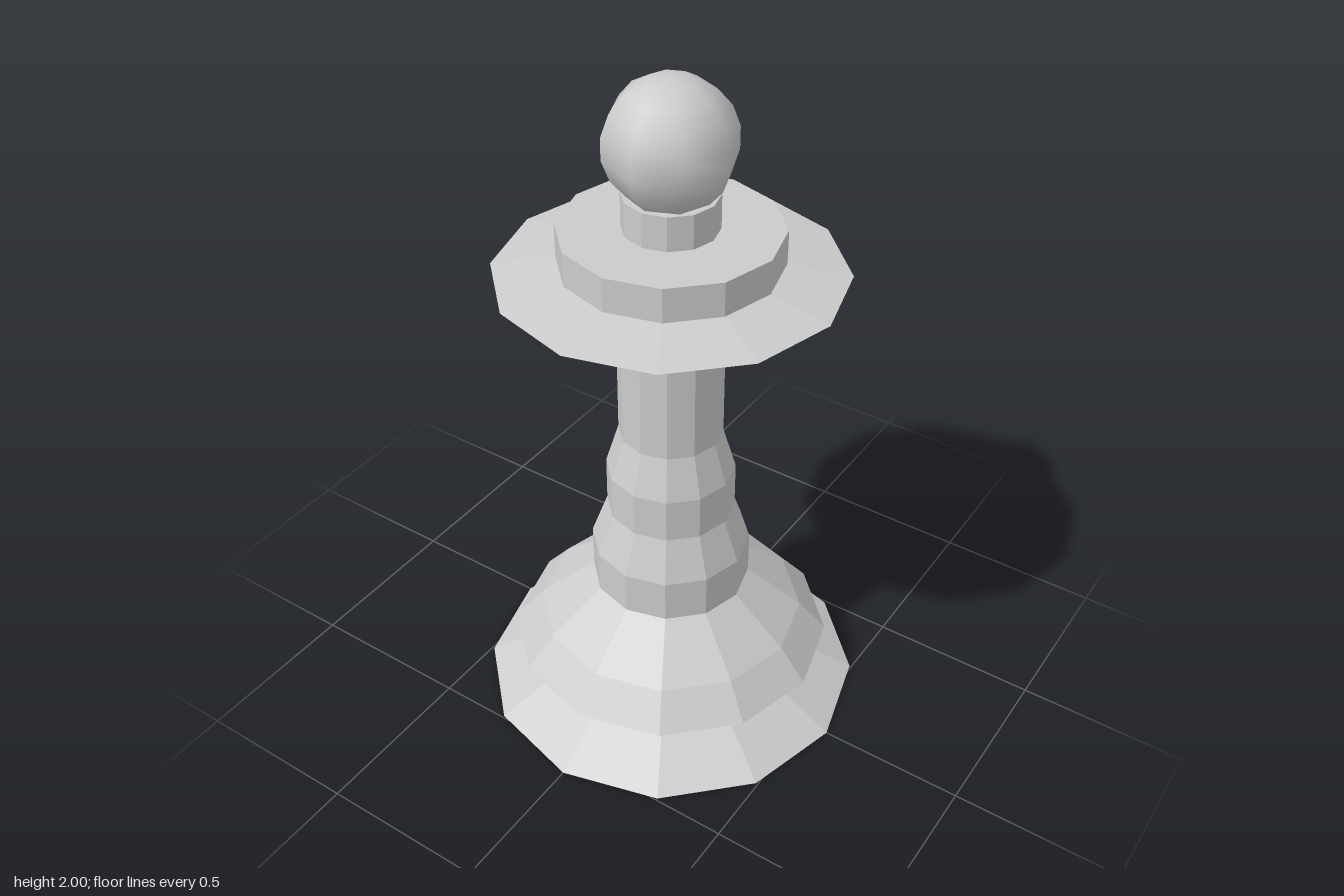
import * as THREE from 'three';

const SIDES = 12;

export function createModel() {
  const group = new THREE.Group();
  const faceted = new THREE.MeshStandardMaterial({ color: 0xcccccc, flatShading: true });
  const smooth = new THREE.MeshStandardMaterial({ color: 0xcccccc });

  // Turned part from [radius, height] points, listed bottom to top
  function turned(name, profile) {
    const points = profile.map(([r, y]) => new THREE.Vector2(r, y));
    const mesh = new THREE.Mesh(new THREE.LatheGeometry(points, SIDES), faceted);
    mesh.name = name;
    group.add(mesh);
  }

  // Closed foot flaring out to the floor
  turned('foot', [[0, 0], [0.57, 0], [0.397, 0.1], [0.397, 0.135]]);

  // Bell-shaped skirt with an undercut rim
  turned('skirt', [[0.397, 0.135], [0.48, 0.167], [0.397, 0.265], [0.235, 0.397]]);

  // Stepped, tapering stem
  turned('stem', [
    [0.235, 0.397], [0.235, 0.53], [0.188, 0.66], [0.188, 0.797], [0.15, 0.925], [0.15, 1.317],
  ]);

  // Wide sharp-edged flange with a flat collar on top
  turned('flange', [[0.15, 1.317], [0.483, 1.448], [0.307, 1.48]]);
  turned('collar', [[0.307, 1.48], [0.307, 1.58], [0.132, 1.58]]);

  // Short neck under the ball
  turned('neck', [[0.132, 1.58], [0.132, 1.68], [0, 1.68]]);

  // Smooth ball, sunk slightly into the neck
  const ball = new THREE.Mesh(new THREE.SphereGeometry(0.182, 8, 9), smooth);
  ball.name = 'ball';
  ball.position.y = 1.818;
  group.add(ball);

  return group;
}
